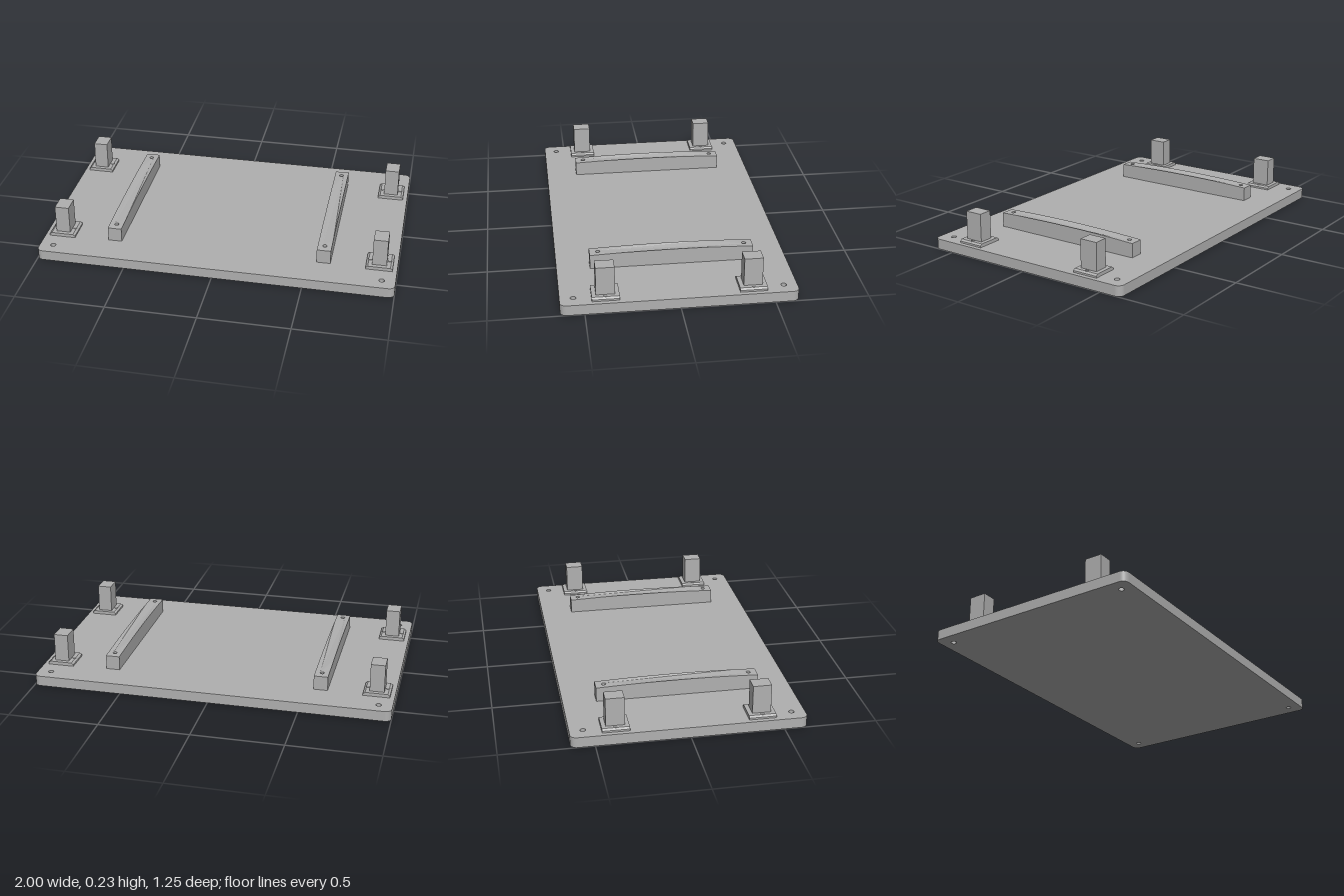
import * as THREE from 'three';

const BOARD_TOP = 0.058;

// Adds a round hole to a plan shape
function addHole(shape, x, y, r) {
  const hole = new THREE.Path();
  hole.absarc(x, y, r, 0, Math.PI * 2, true);
  shape.holes.push(hole);
}

// Extrudes a plan shape straight up from y = 0
function extrudeUp(shape, height) {
  const geo = new THREE.ExtrudeGeometry(shape, { depth: height, bevelEnabled: false, curveSegments: 10 });
  return geo.rotateX(-Math.PI / 2);
}

// Flat board with rounded corners and four through holes
function boardGeometry() {
  const w = 1, d = 0.627, r = 0.035;
  const s = new THREE.Shape();
  s.absarc(w - r, d - r, r, 0, Math.PI / 2);
  s.absarc(-w + r, d - r, r, Math.PI / 2, Math.PI);
  s.absarc(-w + r, -d + r, r, Math.PI, Math.PI * 1.5);
  s.absarc(w - r, -d + r, r, Math.PI * 1.5, Math.PI * 2);
  for (const x of [-1, 1]) for (const z of [-1, 1]) addHole(s, x * 0.925, z * 0.555, 0.015);
  return extrudeUp(s, BOARD_TOP);
}

// Rail with two screw holes and a gently arched top
function railGeometry() {
  const w = 0.039, d = 0.446, n = 16, height = 0.08;
  const pts = [];
  for (let i = 0; i <= n; i++) pts.push(new THREE.Vector2(w, -d + (2 * d * i) / n));
  for (let i = n; i >= 0; i--) pts.push(new THREE.Vector2(-w, -d + (2 * d * i) / n));
  const s = new THREE.Shape(pts);
  for (const z of [-1, 1]) addHole(s, 0, z * 0.4, 0.012);
  const geo = extrudeUp(s, height);
  const p = geo.attributes.position;
  for (let i = 0; i < p.count; i++) {
    if (p.getY(i) > height / 2) p.setY(i, height + 0.01 * (1 - (p.getZ(i) / d) ** 2));
  }
  geo.computeVertexNormals();
  return geo;
}

// Foot plate with sloping ends
function plateGeometry() {
  const s = new THREE.Shape([
    [-0.074, 0], [0.074, 0], [0.074, 0.01], [0.062, 0.019], [-0.062, 0.019], [-0.074, 0.01],
  ].map(([x, y]) => new THREE.Vector2(x, y)));
  return new THREE.ExtrudeGeometry(s, { depth: 0.146, bevelEnabled: false }).translate(0, 0, -0.073);
}

export function createModel() {
  const group = new THREE.Group();
  const grey = new THREE.MeshStandardMaterial({ color: 0xb0b0b0 });
  grey.name = 'plain grey';

  const add = (parent, name, geo, x = 0, y = 0, z = 0) => {
    const mesh = new THREE.Mesh(geo, grey);
    mesh.name = name;
    mesh.position.set(x, y, z);
    parent.add(mesh);
  };

  add(group, 'board', boardGeometry());

  const rail = railGeometry();
  const plate = plateGeometry();
  const post = new THREE.BoxGeometry(0.08, 0.16, 0.1);
  const screw = new THREE.CylinderGeometry(0.01, 0.011, 0.012, 16);

  for (const sx of [-1, 1]) {
    add(group, 'rail', rail, sx * 0.594, BOARD_TOP, 0);

    // Corner posts on screwed foot plates
    for (const sz of [-1, 1]) {
      const foot = new THREE.Group();
      foot.name = 'cornerPost';
      foot.position.set(sx * 0.901, BOARD_TOP, sz * 0.388);
      add(foot, 'footPlate', plate);
      add(foot, 'post', post, 0, 0.097, 0);
      for (const k of [-1, 1]) add(foot, 'screwHead', screw, k * 0.054, 0.016, 0);
      group.add(foot);
    }
  }
  return group;
}
